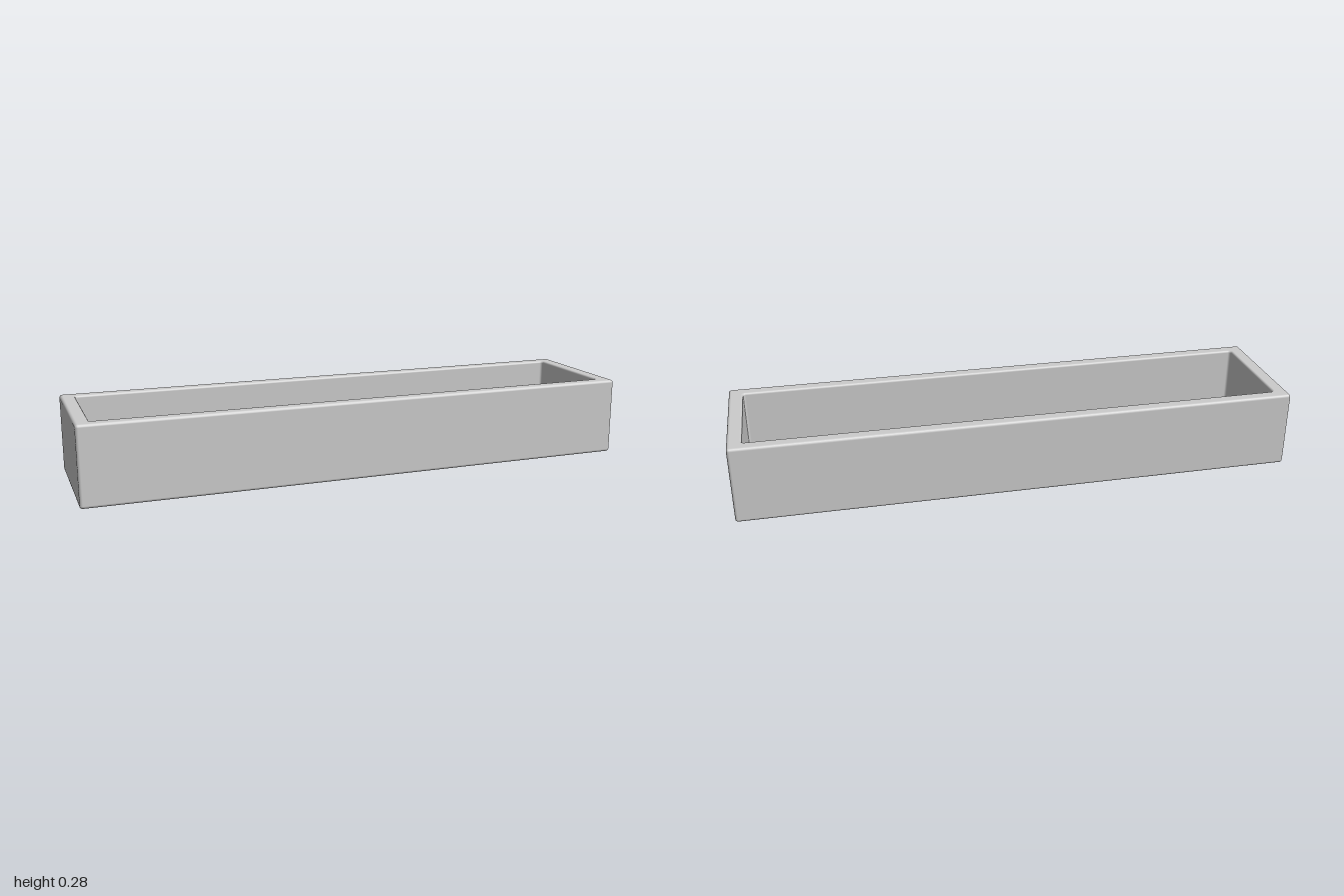
import * as THREE from 'three';

const H = 0.28;               // overall height
const FLOOR = 0.04;           // floor thickness
const R = 0.01;               // edge rounding
const OUT = [1 - R, 0.241 - R];       // corner centres of the outer wall
const INN = [0.949 - R, 0.195 - R];   // corner centres of the cavity
const STEPS = 4;              // segments per rounded edge

// Profile from the underside, up the outside, over the rim and down to the floor.
// Each entry: corner centre, corner radius, height, normal (outward, up).
function troughProfile() {
  const rings = [{ c: [0, 0], r: 0, y: 0, n: [0, -1] }];
  const arc = (c, from, to, r0, y0, k, flip = 1) => {
    for (let i = 0; i <= STEPS; i++) {
      const a = THREE.MathUtils.degToRad(from + ((to - from) * i) / STEPS);
      const u = Math.cos(a), v = Math.sin(a);
      rings.push({ c, r: r0 + k * u, y: y0 + k * v, n: [u * flip, v * flip] });
    }
  };
  arc(OUT, -90, 0, 0, R, R);                  // bottom outer edge
  arc(OUT, 0, 90, 0, H - R, R);               // top outer edge
  const lip = 0.008;
  arc(INN, 90, 180, R + lip, H - lip, lip);   // inner lip
  arc(INN, 0, -90, 0, FLOOR + R, R, -1);      // floor fillet
  rings.push({ c: [0, 0], r: 0, y: FLOOR, n: [0, 1] });
  return rings;
}

// Loft rounded rectangles along the profile.
function loft(rings) {
  const pos = [], nor = [], idx = [];
  const signs = [[1, 1], [-1, 1], [-1, -1], [1, -1]];
  const cols = 4 * (STEPS + 1);
  for (const { c, r, y, n } of rings) {
    signs.forEach(([sx, sz], q) => {
      for (let i = 0; i <= STEPS; i++) {
        const t = (q + i / STEPS) * Math.PI / 2;
        const ct = Math.cos(t), st = Math.sin(t);
        pos.push(sx * c[0] + r * ct, y, sz * c[1] + r * st);
        nor.push(n[0] * ct, n[1], n[0] * st);
      }
    });
  }
  for (let i = 0; i < rings.length - 1; i++) {
    for (let j = 0; j < cols; j++) {
      const k = (j + 1) % cols;
      const a = i * cols + j, b = i * cols + k;
      idx.push(a, a + cols, b, b, a + cols, b + cols);
    }
  }
  const g = new THREE.BufferGeometry();
  g.setAttribute('position', new THREE.Float32BufferAttribute(pos, 3));
  g.setAttribute('normal', new THREE.Float32BufferAttribute(nor, 3));
  g.setIndex(idx);
  return g;
}

export function createModel() {
  const group = new THREE.Group();
  group.name = 'planter';
  const trough = new THREE.Mesh(
    loft(troughProfile()),
    new THREE.MeshStandardMaterial({ color: 0xcccccc })
  );
  trough.name = 'trough';
  group.add(trough);
  return group;
}
